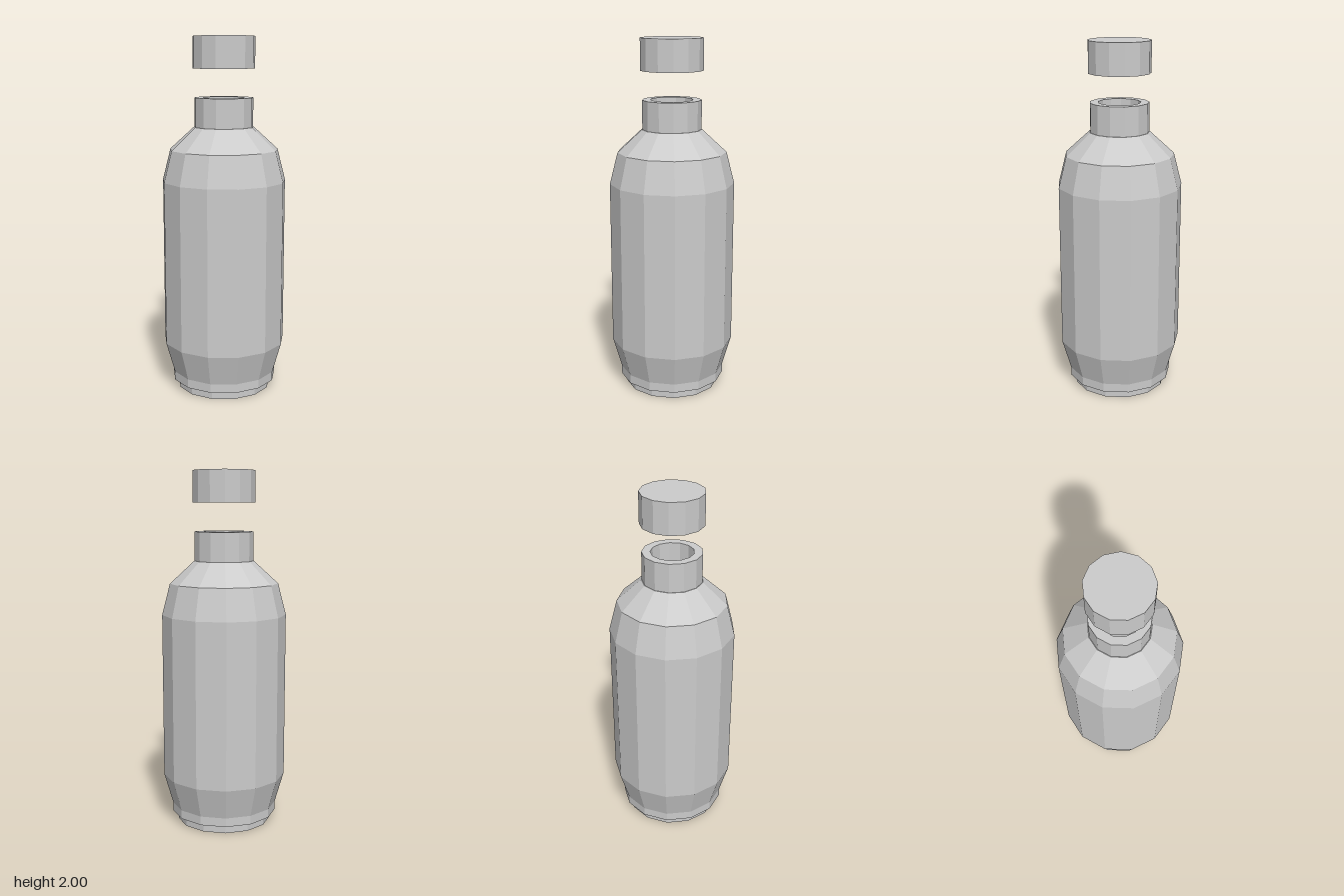
import * as THREE from 'three';

const SIDES = 13;

// Faceted solid of revolution from [radius, height] pairs, one corner facing the back
function turned(name, profile) {
  const points = profile.map(([r, y]) => new THREE.Vector2(r, y));
  const geometry = new THREE.LatheGeometry(points, SIDES, Math.PI);
  const material = new THREE.MeshStandardMaterial({
    color: 0xcccccc, flatShading: true, side: THREE.DoubleSide,
  });
  const mesh = new THREE.Mesh(geometry, material);
  mesh.name = name;
  return mesh;
}

export function createModel() {
  const group = new THREE.Group();
  group.name = 'bottle';

  // Hollow bottle: stepped foot, body, shoulder, neck, rim, then down the inside
  group.add(turned('bottleBody', [
    [0, 0], [0.268, 0], [0.268, 0.05],
    [0.3, 0.05], [0.3, 0.1],
    [0.35, 0.275], [0.35, 1.205],
    [0.305, 1.38], [0.168, 1.505],
    [0.165, 1.505], [0.165, 1.667],
    [0.118, 1.667], [0.118, 1.48],
    [0.27, 1.35], [0.31, 1.19], [0.31, 0.28],
    [0.26, 0.1], [0, 0.1],
  ]));

  // Thin cap floating above the neck, open underneath
  group.add(turned('cap', [[0.174, 1.825], [0.174, 2], [0, 2]]));

  // An odd number of sides is deeper at the back, so centre it
  group.position.z = 0.005;
  return group;
}
